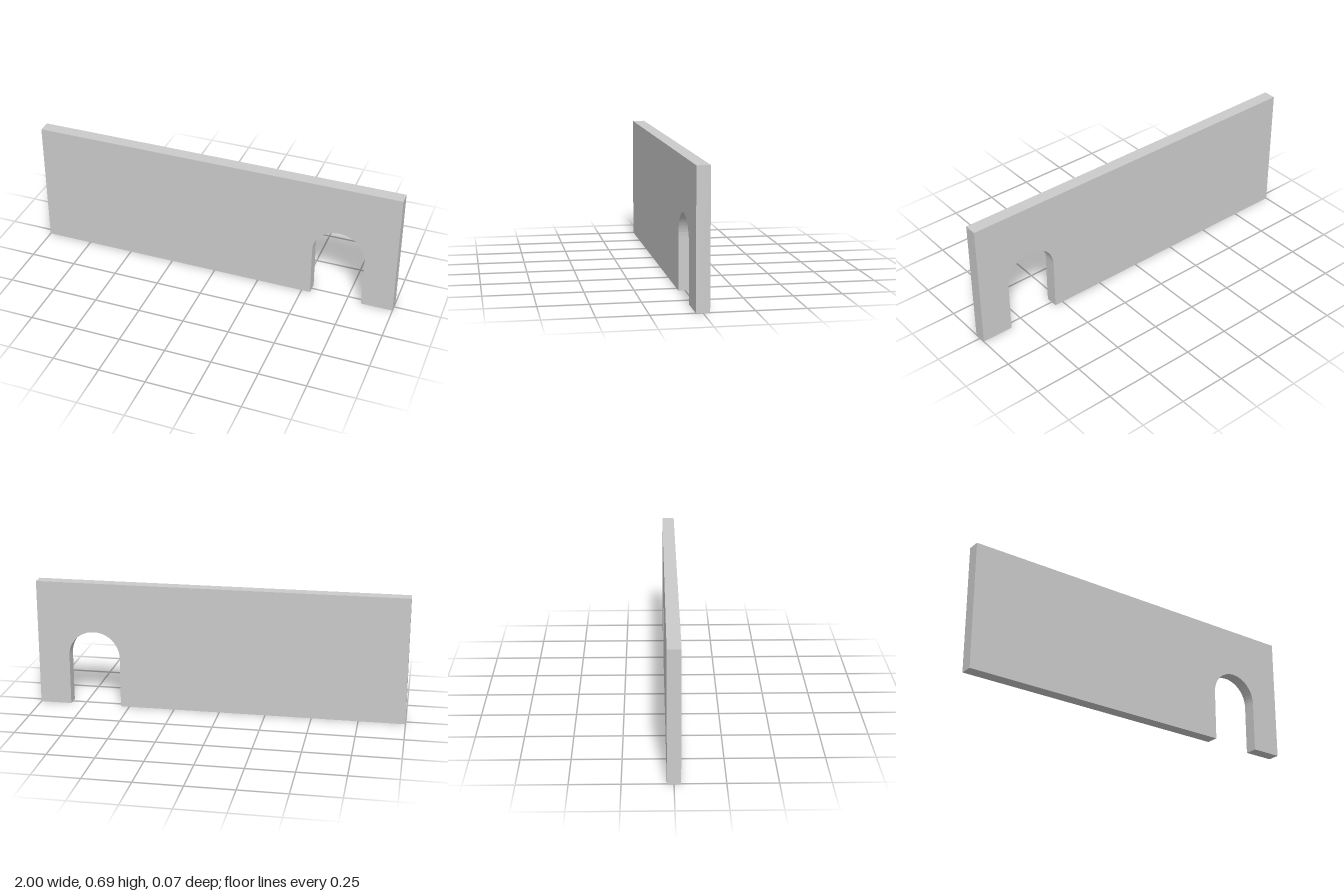
import * as THREE from 'three';

const HEIGHT = 0.69;
const DEPTH = 0.068;
const ARCH = { x: 0.688, radius: 0.141, spring: 0.277 };

export function createModel() {
  const group = new THREE.Group();
  group.name = 'archedWall';

  // Wall outline, with a round-topped doorway cut up from the bottom edge
  const outline = new THREE.Shape();
  outline.moveTo(-1, 0);
  outline.lineTo(ARCH.x - ARCH.radius, 0);
  outline.lineTo(ARCH.x - ARCH.radius, ARCH.spring);
  outline.absarc(ARCH.x, ARCH.spring, ARCH.radius, Math.PI, 0, true);
  outline.lineTo(ARCH.x + ARCH.radius, 0);
  outline.lineTo(1, 0);
  outline.lineTo(1, HEIGHT);
  outline.lineTo(-1, HEIGHT);
  outline.closePath();

  // Thin slab centred on z = 0
  const geometry = new THREE.ExtrudeGeometry(outline, {
    depth: DEPTH,
    bevelEnabled: false,
    curveSegments: 12,
  });
  geometry.translate(0, 0, -DEPTH / 2);

  const material = new THREE.MeshStandardMaterial({ color: 0xcccccc, flatShading: true });
  const wall = new THREE.Mesh(geometry, material);
  wall.name = 'wallWithDoorway';
  group.add(wall);
  return group;
}
